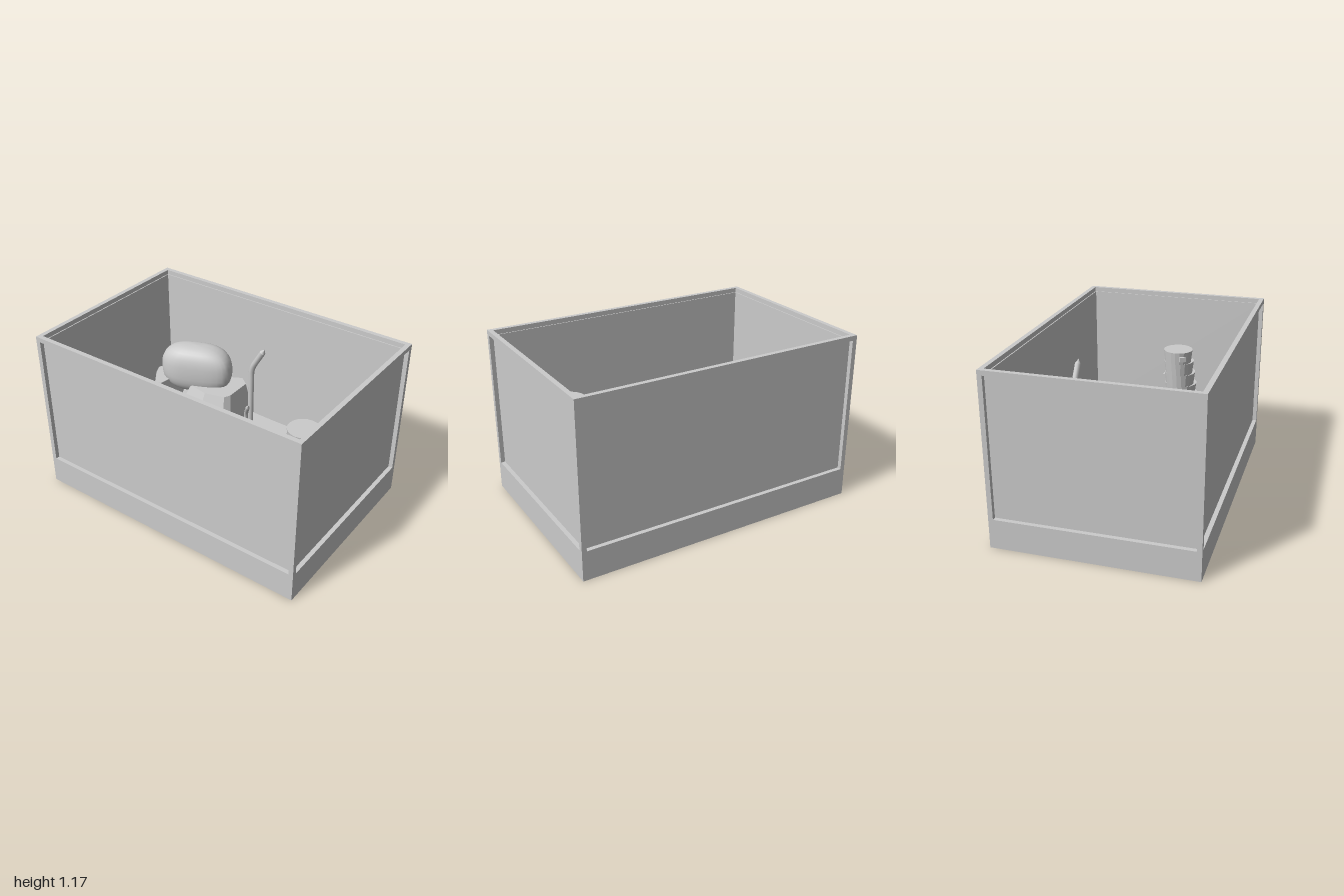
import * as THREE from 'three';
import { ConvexGeometry } from 'three/addons/geometries/ConvexGeometry.js';

const smooth = new THREE.MeshStandardMaterial({ color: 0xcccccc });
const flat = new THREE.MeshStandardMaterial({ color: 0xcccccc, flatShading: true });
const thin = new THREE.MeshStandardMaterial({ color: 0xcccccc, side: THREE.DoubleSide });
const V = (x, y, z) => new THREE.Vector3(x, y, z);

const W = 2, D = 1.334, H = 1.167, BASE = 0.2, BAR = 0.032;

export function createModel() {
  const root = new THREE.Group();
  const add = (name, geometry, material = flat, parent = root) => {
    const mesh = new THREE.Mesh(geometry, material);
    mesh.name = name;
    parent.add(mesh);
    return mesh;
  };
  const box = (name, w, h, d, x, y, z) =>
    add(name, new THREE.BoxGeometry(w, h, d)).position.set(x, y, z);

  // Tank: solid base, corner posts, top rails and recessed panes
  box('base', W, BASE, D, 0, BASE / 2, 0);
  const wallH = H - BASE, midY = BASE + wallH / 2, railY = H - BAR / 2;
  for (const s of [-1, 1]) {
    for (const t of [-1, 1])
      box('cornerPost', BAR, wallH, BAR, s * (W - BAR) / 2, midY, t * (D - BAR) / 2);
    box('longRail', W - 2 * BAR, BAR, BAR, 0, railY, s * (D - BAR) / 2);
    box('shortRail', BAR, BAR, D - 2 * BAR, s * (W - BAR) / 2, railY, 0);
    box('longPane', W - 2 * BAR, wallH - BAR, 0.01, 0, midY - BAR / 2, s * (D / 2 - 0.034));
    box('sidePane', 0.01, wallH - BAR, D - 2 * BAR, s * (W / 2 - 0.034), midY - BAR / 2, 0);
  }

  // Gently rolling ground
  const ground = new THREE.PlaneGeometry(1.92, 1.25, 24, 16).rotateX(-Math.PI / 2);
  const gp = ground.attributes.position;
  for (let i = 0; i < gp.count; i++) {
    const x = gp.getX(i), z = gp.getZ(i);
    gp.setY(i, BASE + 0.012 + 0.007 * Math.sin(4 * x + 1) * Math.cos(5 * z));
  }
  ground.computeVertexNormals();
  add('ground', ground, smooth);

  // Faceted rock: a ground outline with a shoulder and an inset top
  const rock = (name, outline, top, inset = 0.8, shiftZ = -0.02) => {
    const cx = outline.reduce((a, p) => a + p[0], 0) / outline.length;
    const cz = outline.reduce((a, p) => a + p[1], 0) / outline.length;
    const points = [];
    for (const [x, z] of outline) {
      const ring = (k, y, dz) => points.push(V(cx + (x - cx) * k, y, cz + (z - cz) * k + dz));
      ring(0.95, BASE, 0);
      ring(1, BASE + (top - BASE) * 0.45, 0);
      ring(inset, top, shiftZ);
    }
    add(name, new ConvexGeometry(points), flat);
  };
  rock('backRock', [[0.49, -0.41], [0.53, -0.61], [0.86, -0.62], [0.965, -0.55], [0.92, -0.41], [0.73, -0.35]], 0.38, 0.88);
  rock('middleRock', [[0.07, -0.03], [0.15, -0.18], [0.37, -0.19], [0.55, -0.09], [0.48, 0.09], [0.22, 0.07]], 0.34, 0.85);
  rock('trunkRock', [[0.39, 0.35], [0.385, 0.14], [0.55, 0.01], [0.91, -0.12], [0.95, -0.08], [0.965, 0.2], [0.8, 0.3], [0.46, 0.4]], 0.4, 0.86, -0.03);
  rock('leftSupportRock', [[-0.82, -0.27], [-0.69, -0.49], [-0.58, -0.44], [-0.6, -0.2], [-0.62, -0.06], [-0.67, -0.04], [-0.78, -0.18]], 0.56);
  rock('rightSupportRock', [[-0.1, -0.5], [-0.19, -0.57], [-0.36, -0.48], [-0.52, -0.17], [-0.32, -0.13], [-0.13, -0.18], [-0.1, -0.24]], 0.55, 0.75);
  rock('rearSupportRock', [[-0.35, -0.57], [-0.62, -0.46], [-0.6, -0.3], [-0.35, -0.3], [-0.28, -0.5]], 0.54);

  // Smooth rounded capstone, slightly curved along its length
  const cap = new THREE.SphereGeometry(1, 28, 18);
  const cp = cap.attributes.position;
  const puff = (v, e) => Math.sign(v) * Math.pow(Math.abs(v), e);
  for (let i = 0; i < cp.count; i++) {
    const x = puff(cp.getX(i), 0.75), y = puff(cp.getY(i), 0.8), z = puff(cp.getZ(i), 0.75);
    cp.setXYZ(i, x * 0.265, y * 0.18, z * 0.135 + 0.03 * (x * x - 0.5) * x);
  }
  cap.computeVertexNormals();
  const capstone = add('capstone', cap, smooth);
  capstone.position.set(-0.48, 0.64, -0.345);
  capstone.rotation.y = 0.33;

  // Bent shoots with pointed tips
  const shoot = (x, z, bendY, tip, r = 0.021) => {
    const group = new THREE.Group();
    group.name = 'shoot';
    const end = V(...tip), bend = V(x, bendY, z);
    const dir = end.clone().sub(bend).normalize();
    const neck = end.clone().addScaledVector(dir, -0.035);
    const path = new THREE.CurvePath();
    const before = V(x, bendY - 0.05, z), after = bend.clone().addScaledVector(dir, 0.05);
    path.add(new THREE.LineCurve3(V(x, BASE, z), before));
    path.add(new THREE.QuadraticBezierCurve3(before, bend, after));
    path.add(new THREE.LineCurve3(after, neck));
    add('stem', new THREE.TubeGeometry(path, 28, r, 10), smooth, group);
    const cone = add('tip', new THREE.ConeGeometry(r, 0.035, 10), smooth, group);
    cone.position.copy(neck).lerp(end, 0.5);
    cone.quaternion.setFromUnitVectors(V(0, 1, 0), dir);
    root.add(group);
  };
  shoot(-0.07, -0.445, 0.72, [0.04, 0.91, -0.44]);
  shoot(-0.06, -0.37, 0.38, [0, 0.5, -0.31], 0.015);
  shoot(-0.79, -0.09, 0.46, [-0.89, 0.1, 0.1].map((v, i) => (i === 1 ? 0.68 : v)));
  shoot(-0.71, -0.07, 0.4, [-0.82, 0.62, 0.14]);

  // Leaning trunk of flared segments, ending in a level cut
  const trunk = new THREE.Group();
  trunk.name = 'trunk';
  const N = 5, y0 = 0.36, step = (0.82 - y0) / N;
  for (let i = 0; i < N; i++) {
    const u = i / (N - 1), r = 0.122 - 0.016 * u;
    const seg = add('trunkSegment', new THREE.CylinderGeometry(r, r * 0.9, step, 20), flat, trunk);
    seg.position.set(0.765 - 0.075 * u, y0 + step * (i + 0.5), 0.115 - 0.015 * u);
    // Small bark stub on each segment
    const a = 0.5 + i * 2.1;
    const stub = add('barkStub', new THREE.BoxGeometry(0.045, 0.035, 0.025), flat, trunk);
    stub.position.set(seg.position.x + Math.cos(a) * r, seg.position.y, seg.position.z + Math.sin(a) * r);
    stub.rotation.y = Math.PI / 2 - a;
  }
  root.add(trunk);

  // Upright grass blades, each given by its two ground ends
  const blades = [
    [0.56, -0.34, 0.92, -0.325], [0.62, -0.35, 0.9, -0.29], [0.34, -0.21, 0.68, -0.1],
    [0.52, -0.27, 0.84, -0.13], [0.55, -0.08, 0.71, -0.16], [0.4, -0.27, 0.46, -0.14],
    [0.5, -0.25, 0.6, -0.1], [0.58, -0.33, 0.67, -0.19], [-0.09, -0.34, 0.07, -0.29],
    [-0.07, -0.3, 0.07, -0.36], [0.78, 0.36, 0.94, 0.3], [0.78, 0.31, 0.94, 0.39],
    [-0.92, 0.455, -0.57, 0.51], [-0.74, 0.445, -0.61, 0.555],
    [-0.93, 0.61, -0.77, 0.535], [-0.92, 0.565, -0.74, 0.58],
  ];
  for (const [xa, za, xb, zb] of blades) {
    const length = Math.hypot(xb - xa, zb - za), h = Math.min(0.2, 0.08 + length * 0.35);
    const blade = add('grassBlade', new THREE.PlaneGeometry(length, h), thin);
    blade.position.set((xa + xb) / 2, BASE + h / 2, (za + zb) / 2);
    blade.rotation.order = 'YXZ';
    blade.rotation.set(0.06, -Math.atan2(zb - za, xb - xa), 0);
  }
  return root;
}
